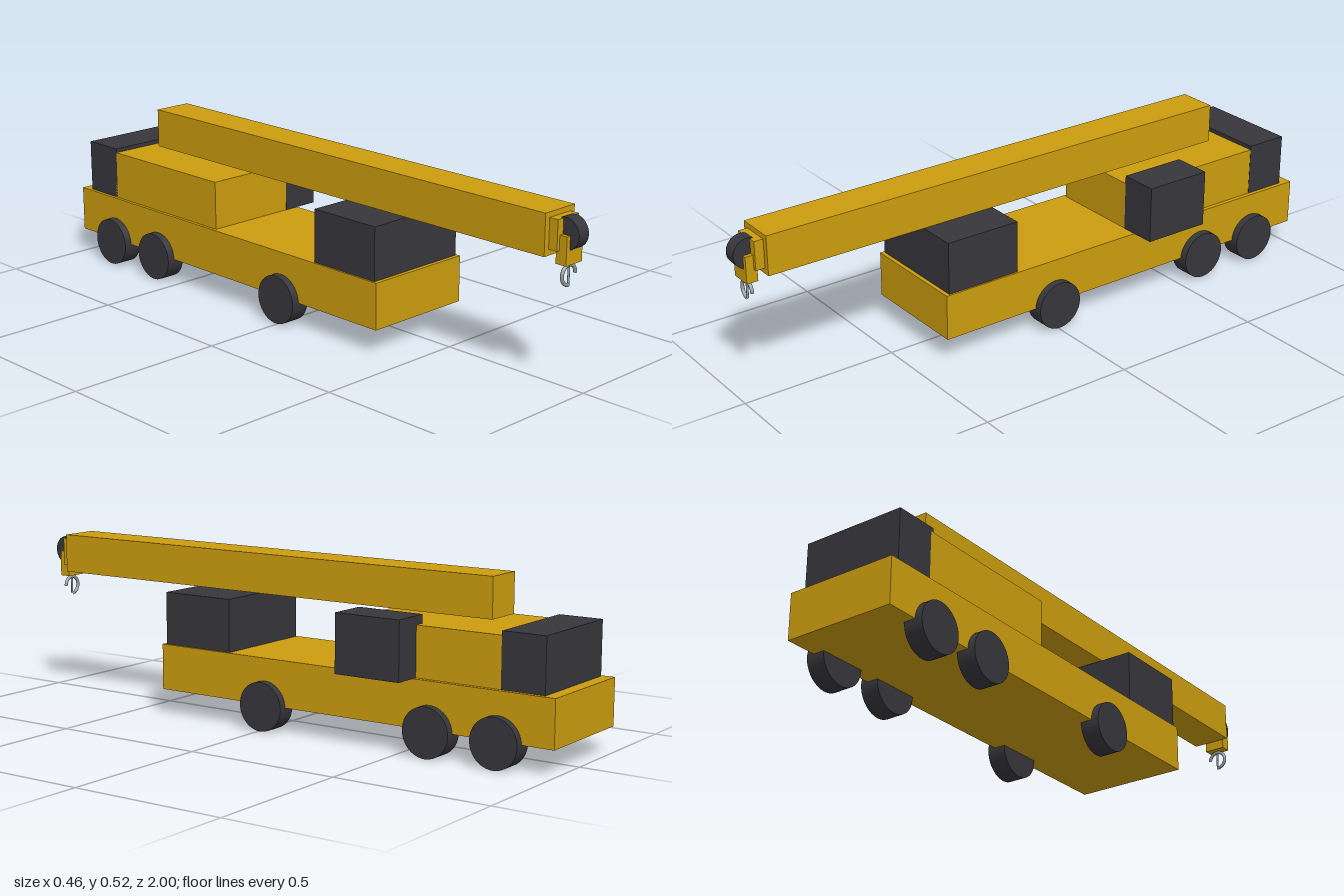
import * as THREE from 'three';

const mat = (name, color) => {
  const m = new THREE.MeshStandardMaterial({ color });
  m.name = name;
  return m;
};

export function createModel() {
  const crane = new THREE.Group();
  crane.name = 'mobileCrane';
  const yellow = mat('craneYellow', 0xcc9d0e);
  const dark = mat('darkGrey', 0x37363c);
  const steel = mat('hookSteel', 0x95a0a4);
  const midX = -0.027; // centre line of the vehicle

  const add = (name, geometry, material, x, y, z) => {
    const mesh = new THREE.Mesh(geometry, material);
    mesh.name = name;
    mesh.position.set(x, y, z);
    crane.add(mesh);
    return mesh;
  };
  // Box given by its lower and upper limits on each axis
  const box = (name, material, [x0, x1], [y0, y1], [z0, z1]) =>
    add(name, new THREE.BoxGeometry(x1 - x0, y1 - y0, z1 - z0), material,
      (x0 + x1) / 2, (y0 + y1) / 2, (z0 + z1) / 2);
  // Round part with its axis along x
  const disc = (name, radius, width, x, y, z) => {
    const g = new THREE.CylinderGeometry(radius, radius, width, 48).rotateZ(Math.PI / 2);
    return add(name, g, dark, x, y, z);
  };

  // Carrier and bodywork
  box('chassis', yellow, [-0.209, 0.155], [0.079, 0.225], [-1, 0.398]);
  box('driverCab', dark, [-0.203, 0.149], [0.225, 0.392], [0.135, 0.385]);
  box('upperBody', yellow, [-0.198, 0.14], [0.225, 0.38], [-0.83, -0.32]);
  box('counterweight', dark, [-0.198, 0.141], [0.225, 0.393], [-0.961, -0.821]);
  box('operatorCab', dark, [0.106, 0.231], [0.225, 0.407], [-0.54, -0.319]);

  // Three axles of wheels
  for (const z of [-0.007, -0.597, -0.821]) {
    for (const side of [-1, 1]) {
      disc(side > 0 ? 'leftWheel' : 'rightWheel', 0.077, 0.062, midX + side * 0.1755, 0.077, z);
    }
  }

  // Telescopic boom, sheave and hook block
  box('boom', yellow, [-0.09, 0.036], [0.4, 0.525], [-0.73, 0.916]);
  box('boomExtension', yellow, [-0.072, 0.018], [0.418, 0.509], [0.8, 0.945]);
  box('hookBlock', yellow, [-0.062, 0.007], [0.379, 0.463], [0.934, 0.97]);
  disc('sheave', 0.047, 0.042, midX, 0.466, 0.953);

  // Open hook with a straight shank
  add('hook', new THREE.TorusGeometry(0.029, 0.0055, 12, 40, Math.PI * 1.5), steel, midX, 0.344, 0.953);
  add('hookShank', new THREE.CylinderGeometry(0.0035, 0.0035, 0.05, 12), steel, midX, 0.342, 0.953);

  return crane;
}
